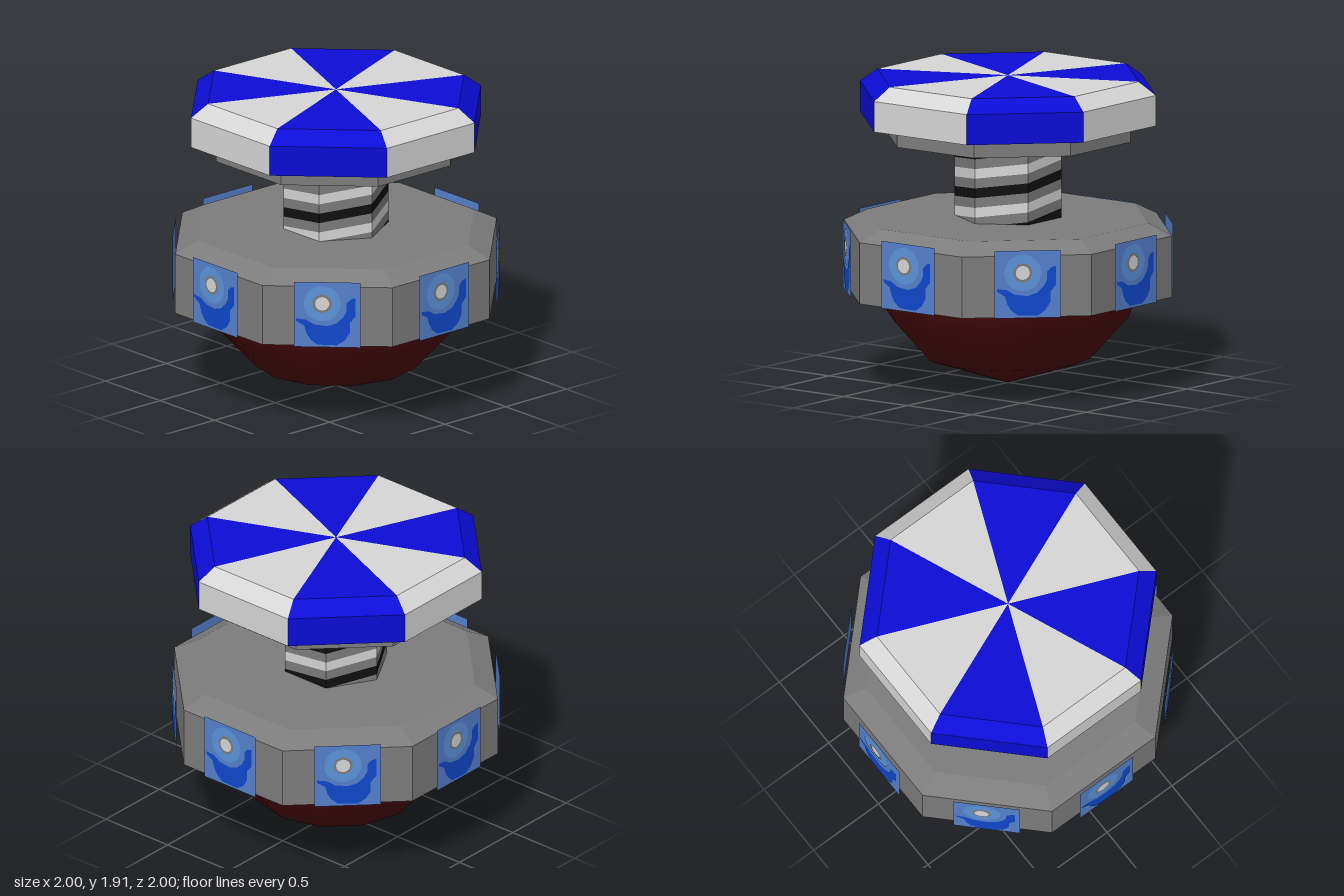
import * as THREE from 'three';
import { mergeGeometries } from 'three/addons/utils/BufferGeometryUtils.js';

const mat = (name, color, side = THREE.FrontSide) => {
  const m = new THREE.MeshStandardMaterial({ color, side });
  m.name = name;
  return m;
};
const white = mat('white', 0xd6d6d6);
const blue = mat('royal blue', 0x0c0cd6);
const grey = mat('grey', 0x7c7c7c);
const black = mat('black', 0x101010);
const red = mat('dark red', 0x4e0b0d);
const plateBlue = mat('plate blue', 0x5580cc, THREE.DoubleSide);
const haloBlue = mat('halo blue', 0x5b93da);
const deepBlue = mat('deep blue', 0x0f48cc);

function mesh(name, geometry, material) {
  const m = new THREE.Mesh(geometry, material);
  m.name = name;
  return m;
}

function flat(geometry) {
  const g = geometry.index ? geometry.toNonIndexed() : geometry;
  g.computeVertexNormals();
  return g;
}

// Eight-sided turning; radii are given to the flats, which face the axes
const TO_CORNER = 1 / Math.cos(Math.PI / 8);
function octagon(profile, start = 0, sides = 8) {
  const pts = profile.map(([r, y]) => new THREE.Vector2(r * TO_CORNER, y));
  const phi = -Math.PI / 8 + start * Math.PI / 4;
  return flat(new THREE.LatheGeometry(pts, sides, phi, sides * Math.PI / 4));
}

// Hexagonal stem with bands that climb one period per turn
function stemBands(offset) {
  const radius = 0.33, pitch = 0.242, width = pitch / 4, pos = [];
  const clampY = (y) => Math.min(1.6, Math.max(0.98, y));
  const point = (k, y) => {
    const a = k * Math.PI / 3;
    return [radius * Math.sin(a), clampY(y + pitch * k / 6), radius * Math.cos(a)];
  };
  for (let k = 0; k < 6; k++) {
    for (let turn = -2; turn < 3; turn++) {
      const lo = 1.226 + (turn + offset) * pitch - width / 2, hi = lo + width;
      const a = point(k, lo), b = point(k + 1, lo), c = point(k + 1, hi), d = point(k, hi);
      if (c[1] - b[1] < 1e-5 && d[1] - a[1] < 1e-5) continue;
      pos.push(...a, ...b, ...c, ...a, ...c, ...d);
    }
  }
  const g = new THREE.BufferGeometry();
  g.setAttribute('position', new THREE.Float32BufferAttribute(pos, 3));
  return flat(g);
}

// Floating square plate with a bright disc, halo and crescent
function makePlate() {
  const plate = new THREE.Group();
  plate.name = 'sidePlate';
  const add = (name, geo, material, x, y, z) => {
    const m = mesh(name, geo, material);
    m.position.set(x, y, z);
    plate.add(m);
  };
  add('plateSheet', new THREE.PlaneGeometry(0.41, 0.42), plateBlue, 0, 0.793, 0.994);
  const cx = -0.03, cy = 0.865;
  add('plateHalo', new THREE.CircleGeometry(0.115, 20), haloBlue, cx, cy, 0.996);
  const crescent = new THREE.Shape([
    [0.175, 0.905], [0.145, 0.895], [0.12, 0.87], [0.12, 0.82], [0.1, 0.78], [0.06, 0.74],
    [0, 0.72], [-0.08, 0.73], [-0.13, 0.76], [-0.19, 0.767], [-0.19, 0.75], [-0.14, 0.72],
    [-0.125, 0.67], [-0.1, 0.63], [-0.06, 0.6], [0.06, 0.597], [0.11, 0.63], [0.14, 0.68],
    [0.14, 0.745], [0.175, 0.785],
  ].map(([x, y]) => new THREE.Vector2(x, y)));
  add('plateCrescent', new THREE.ShapeGeometry(crescent), deepBlue, 0, 0, 0.997);
  add('plateRing', new THREE.CircleGeometry(0.06, 12), grey, cx, cy, 0.998);
  add('plateDisc', new THREE.CircleGeometry(0.044, 12), white, cx, cy, 1.0);
  return plate;
}

export function createModel() {
  const model = new THREE.Group();
  model.name = 'model';

  // Faceted bowl with smooth shading
  const bowl = [[0, 0], [0.51, 0.165], [0.75, 0.43], [0.805, 0.6]].map(([r, y]) => new THREE.Vector2(r, y));
  model.add(mesh('bowl', new THREE.LatheGeometry(bowl, 12), red));

  // Wide bevelled collar
  model.add(mesh('collar', octagon([[0, 0.583], [0.965, 0.583], [0.965, 0.965], [0.83, 1.037], [0, 1.037]]), grey));

  // Striped stem
  const stem = new THREE.Group();
  stem.name = 'stem';
  stem.add(mesh('blackStripes', stemBands(0), black));
  stem.add(mesh('whiteStripes', stemBands(0.5), white));
  stem.add(mesh('greyStripes', mergeGeometries([stemBands(0.25), stemBands(0.75)]), grey));
  model.add(stem);

  // Flange under the cap, and the cap's underside
  model.add(mesh('flange', octagon([[0, 1.535], [0.72, 1.535], [0.72, 1.65]]), grey));
  model.add(mesh('capUnderside', octagon([[0, 1.645], [0.87, 1.645]]), grey));

  // Cap made of wedges in alternating colours
  const wedge = [[0.87, 1.645], [0.87, 1.835], [0.768, 1.915], [0, 1.915]];
  const wedges = (first) => mergeGeometries([0, 2, 4, 6].map((i) => octagon(wedge, first + i, 1)));
  model.add(mesh('whiteCapWedges', wedges(0), white));
  model.add(mesh('blueCapWedges', wedges(1), blue));

  // One plate in front of each collar face
  for (let i = 0; i < 8; i++) {
    const plate = makePlate();
    plate.rotation.y = i * Math.PI / 4;
    model.add(plate);
  }
  return model;
}
